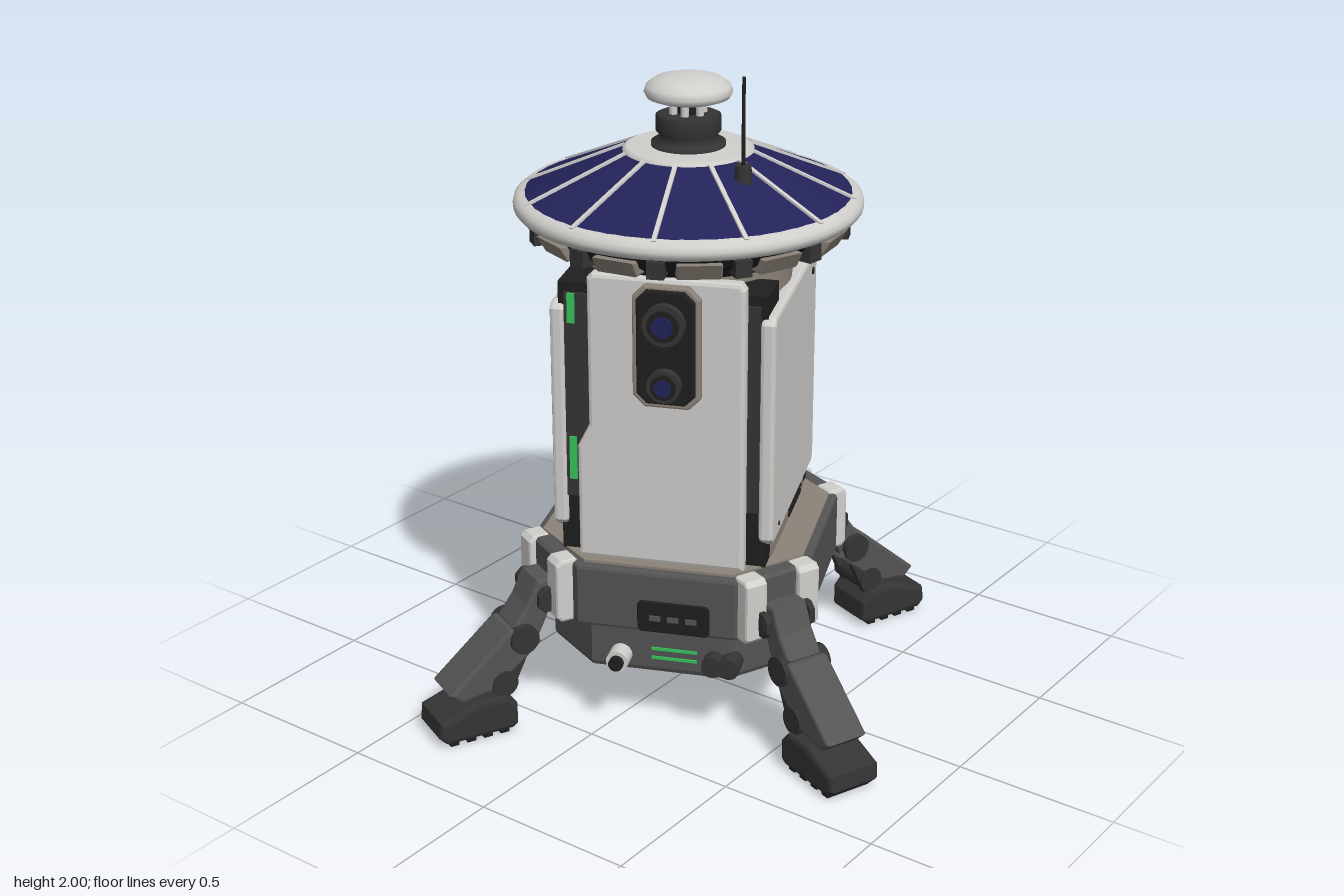
import * as THREE from 'three';

const mat = (name, color) => {
  const m = new THREE.MeshStandardMaterial({ color });
  m.name = name;
  return m;
};

export function createModel() {
  const white = mat('shell white', 0xd0cfcc), grey = mat('frame grey', 0x545454);
  const dark = mat('joint dark', 0x343434), black = mat('recess black', 0x1f1f1f);
  const beige = mat('inner beige', 0x8c847a), navy = mat('solar navy', 0x23235a);
  const green = mat('light green', 0x35c45c);

  const root = new THREE.Group();
  root.name = 'robotStation';
  const body = new THREE.Group();
  body.name = 'body';
  body.rotation.y = THREE.MathUtils.degToRad(23);
  root.add(body);

  const add = (parent, name, geo, m, x = 0, y = 0, z = 0) => {
    const mesh = new THREE.Mesh(geo, m);
    mesh.name = name;
    mesh.position.set(x, y, z);
    parent.add(mesh);
    return mesh;
  };
  const box = (w, h, d) => new THREE.BoxGeometry(w, h, d);
  const cyl = (r0, r1, h, n = 24) => new THREE.CylinderGeometry(r0, r1, h, n);
  const cylZ = (r, h, n = 24) => cyl(r, r, h, n).rotateX(Math.PI / 2);
  const cylX = (r, h, n = 20) => cyl(r, r, h, n).rotateZ(Math.PI / 2);
  const lathe = (pts, n = 48) => new THREE.LatheGeometry(pts.map(p => new THREE.Vector2(...p)), n);
  // bevelled plate in the XY plane, centred on z
  const plate = (pts, depth, bevel = 0.01) => new THREE.ExtrudeGeometry(
    new THREE.Shape(pts.map(p => new THREE.Vector2(...p))),
    { depth: depth - 2 * bevel, bevelEnabled: bevel > 0, bevelThickness: bevel, bevelSize: bevel,
      bevelOffset: -bevel, bevelSegments: 2 }).translate(0, 0, bevel - depth / 2);
  // side profile given as (z, y), extruded across x
  const slab = (pts, width, bevel) => plate(pts, width, bevel).rotateY(-Math.PI / 2);
  const rect = (a, b, c, d, k) => [[a + k, c], [b - k, c], [b, c + k], [b, d - k],
    [b - k, d], [a + k, d], [a, d - k], [a, c + k]];
  // horizontal chamfered square
  const octagon = (half, chamfer, h, bevel) =>
    plate(rect(-half, half, -half, half, chamfer), h, bevel).rotateX(-Math.PI / 2);

  // base
  add(body, 'lowerBase', octagon(0.378, 0.165, 0.18, 0.02), grey, 0, 0.28, 0);
  add(body, 'upperBase', octagon(0.43, 0.19, 0.2, 0.012), grey, 0, 0.455, 0);
  add(body, 'deck', octagon(0.405, 0.18, 0.012, 0), beige, 0, 0.557, 0);
  add(body, 'frontPort', plate(rect(-0.11, 0.11, -0.05, 0.05, 0.01), 0.012, 0.003), black, 0.055, 0.412, 0.432);
  for (const x of [0.0, 0.055, 0.11]) add(body, 'portKey', box(0.035, 0.016, 0.006), grey, x, 0.41, 0.44);
  for (const y of [0.245, 0.275]) add(body, 'statusLine', box(0.14, 0.009, 0.008), green, 0.045, y, 0.379);
  add(body, 'whiteKnob', cylZ(0.034, 0.07), white, -0.12, 0.245, 0.4);
  add(body, 'whiteKnobTip', cylZ(0.022, 0.03), black, -0.12, 0.245, 0.44);
  for (const x of [0.17, 0.22]) add(body, 'darkKnob', cylZ(0.033, 0.07), dark, x, 0.255, 0.39);
  for (let i = 0; i < 4; i++)
    add(body, 'baseVent', box(0.008, 0.014, 0.13), black, -0.432, 0.42 + i * 0.027, 0.08);

  // core and corner pillars with lights
  add(body, 'core', cyl(0.31, 0.31, 0.92, 40), beige, 0, 1.01, 0);
  for (const sx of [-1, 1]) for (const sz of [-1, 1]) {
    add(body, 'cornerPillar', box(0.12, 0.85, 0.15), black, sx * 0.25, 0.985, sz * 0.255);
    add(body, 'pillarTrim', box(0.07, 0.64, 0.016), dark, sx * 0.255, 1.06, sz * 0.334);
    if (sx < 0 || sz < 0) for (const [y, h] of [[1.335, 0.09], [0.865, 0.135]])
      add(body, 'pillarLight', box(0.022, h, 0.01), green, sx * 0.268, y, sz * 0.344);
  }

  // side panels
  for (const s of [-1, 1]) {
    const name = s > 0 ? 'left' : 'right';
    add(body, name + 'SidePanel', slab(rect(-0.315, 0.345, 0.635, 1.35, 0.022), 0.045, 0.012), white, s * 0.312);
    add(body, name + 'Sill', box(0.06, 0.075, 0.52), beige, s * 0.285, 0.598, 0);
    for (let i = 0; i < 3; i++)
      add(body, name + 'SillVent', box(0.008, 0.01, 0.2), black, s * 0.316, 0.578 + i * 0.019, -0.1);
    add(body, name + 'TopBolt', cylX(0.011, 0.008), black, s * 0.335, 1.3, -0.24);
    add(body, name + 'LowBolt', cylX(0.007, 0.006), dark, s * 0.335, 0.675, 0.255);
  }

  // front panel with stepped edge, and back panel
  add(body, 'frontPanel', plate([[-0.245, 0.565], [0.255, 0.565], [0.255, 1.44], [0.24, 1.46], [-0.195, 1.46],
    [-0.21, 1.445], [-0.21, 0.99], [-0.245, 0.92]], 0.05, 0.012), white, 0, 0, 0.36);
  add(body, 'frontFiller', box(0.38, 0.85, 0.1), dark, 0.02, 0.99, 0.29);
  add(body, 'backPanel', plate(rect(-0.205, 0.205, 0.565, 1.45, 0.015), 0.05, 0.012), white, 0, 0, -0.355);
  add(body, 'backFiller', box(0.38, 0.85, 0.1), dark, 0, 0.99, -0.29);

  // twin camera
  add(body, 'cameraFrame', plate(rect(-0.1, 0.1, 1.075, 1.445, 0.035), 0.03, 0.006), beige, 0.03, 0, 0.393);
  add(body, 'cameraPlate', plate(rect(-0.086, 0.086, 1.09, 1.435, 0.03), 0.03, 0.006), black, 0.03, 0, 0.405);
  for (const [y, r] of [[1.34, 0.062], [1.155, 0.05]]) {
    add(body, 'lensBarrel', cylZ(r, 0.04), dark, 0.03, y, 0.425);
    add(body, 'lensRing', cylZ(r * 0.75, 0.03), black, 0.03, y, 0.437);
    add(body, 'lensGlass', cylZ(r * 0.5, 0.008), navy, 0.03, y, 0.454);
  }

  // roof
  add(body, 'roofBowl', lathe([[0, 1.42], [0.32, 1.44], [0.36, 1.455], [0.45, 1.51], [0.48, 1.57]]), black);
  add(body, 'roofRing', lathe([[0.47, 1.555], [0.505, 1.555], [0.516, 1.568], [0.518, 1.58],
    [0.514, 1.595], [0.5, 1.607], [0.475, 1.612]], 64), white);
  add(body, 'solarCone', lathe([[0.498, 1.604], [0.17, 1.742]]), navy);
  add(body, 'roofCap', lathe([[0.195, 1.725], [0.193, 1.738], [0.18, 1.745], [0, 1.746]]), white);
  for (let i = 0; i < 12; i++) {
    const arm = new THREE.Group();
    arm.name = 'roofSegment';
    arm.rotation.y = THREE.MathUtils.degToRad(2 + i * 30);
    body.add(arm);
    add(arm, 'panelRib', box(0.013, 0.014, 0.33), white, 0, 1.668, 0.345).rotation.x = Math.atan2(0.138, 0.328);
    const tab = slab([[0.38, 1.485], [0.455, 1.485], [0.485, 1.535], [0.42, 1.535]], 0.13, 0.006);
    add(arm, 'roofTab', tab, beige).rotation.y = Math.PI / 12;
    add(arm, 'tabClip', box(0.05, 0.05, 0.06), dark, 0, 1.515, 0.45);
  }

  // sensor mast and dome
  add(body, 'mastCollar', lathe([[0.11, 1.74], [0.11, 1.756], [0.088, 1.76], [0.088, 1.785], [0.096, 1.79],
    [0.096, 1.835], [0.085, 1.84], [0, 1.84]], 32), dark);
  add(body, 'mastCore', cyl(0.032, 0.032, 0.07), black, 0, 1.86, 0);
  for (let i = 0; i < 6; i++) {
    const a = i * Math.PI / 3;
    add(body, 'mastPost', cyl(0.012, 0.012, 0.06, 10), white, 0.046 * Math.sin(a), 1.862, 0.046 * Math.cos(a));
  }
  add(body, 'sensorDome', lathe([[0, 1.882], [0.1, 1.882], [0.122, 1.89], [0.13, 1.905], [0.124, 1.924],
    [0.1, 1.942], [0.06, 1.953], [0, 1.957]], 40), white);

  // antenna
  add(body, 'antennaBase', cyl(0.024, 0.028, 0.09, 16), dark, 0.2, 1.7, 0.172);
  add(body, 'antennaRod', cyl(0.005, 0.006, 0.28, 8), black, 0.2, 1.86, 0.172);

  // legs, each built outward along +z
  for (const deg of [-25, 69, 159, 250]) {
    const leg = new THREE.Group();
    leg.name = 'leg';
    leg.rotation.y = THREE.MathUtils.degToRad(deg);
    root.add(leg);
    for (const s of [-1, 1]) {
      add(leg, 'legMount', slab(rect(0.44, 0.52, 0.358, 0.562, 0.015), 0.075, 0.01), white, s * 0.094);
      add(leg, 'hipBracket', slab(rect(0.48, 0.56, 0.38, 0.46, 0.02), 0.02, 0.004), dark, s * 0.078);
      add(leg, 'ankleStrut', slab([[0.57, 0.29], [0.61, 0.29], [0.69, 0.14], [0.65, 0.12]], 0.025, 0.004), dark, s * 0.055);
    }
    add(leg, 'mountBack', slab(rect(0.44, 0.5, 0.36, 0.56, 0.01), 0.13, 0.006), grey);
    add(leg, 'thigh', slab([[0.48, 0.44], [0.5, 0.475], [0.55, 0.475], [0.585, 0.4], [0.645, 0.32],
      [0.61, 0.27], [0.56, 0.27], [0.53, 0.33]], 0.12, 0.01), grey);
    add(leg, 'hipPin', cylX(0.022, 0.18), dark, 0, 0.42, 0.53);
    add(leg, 'kneePin', cylX(0.046, 0.165), dark, 0, 0.3, 0.605);
    add(leg, 'shin', slab([[0.545, 0.275], [0.58, 0.335], [0.65, 0.335], [0.85, 0.165], [0.815, 0.132],
      [0.7, 0.15]].reverse(), 0.14, 0.01), grey);
    add(leg, 'anklePin', cylX(0.042, 0.15), dark, 0, 0.165, 0.672);
    add(leg, 'foot', slab([[0.635, 0.025], [0.655, 0.012], [0.87, 0.012], [0.893, 0.035], [0.888, 0.085],
      [0.76, 0.13], [0.67, 0.13], [0.635, 0.09]], 0.175, 0.016), dark);
    for (let i = 0; i < 4; i++)
      add(leg, 'footCleat', box(0.15, 0.016, 0.028), black, 0, 0.008, 0.68 + i * 0.055);
  }
  return root;
}
